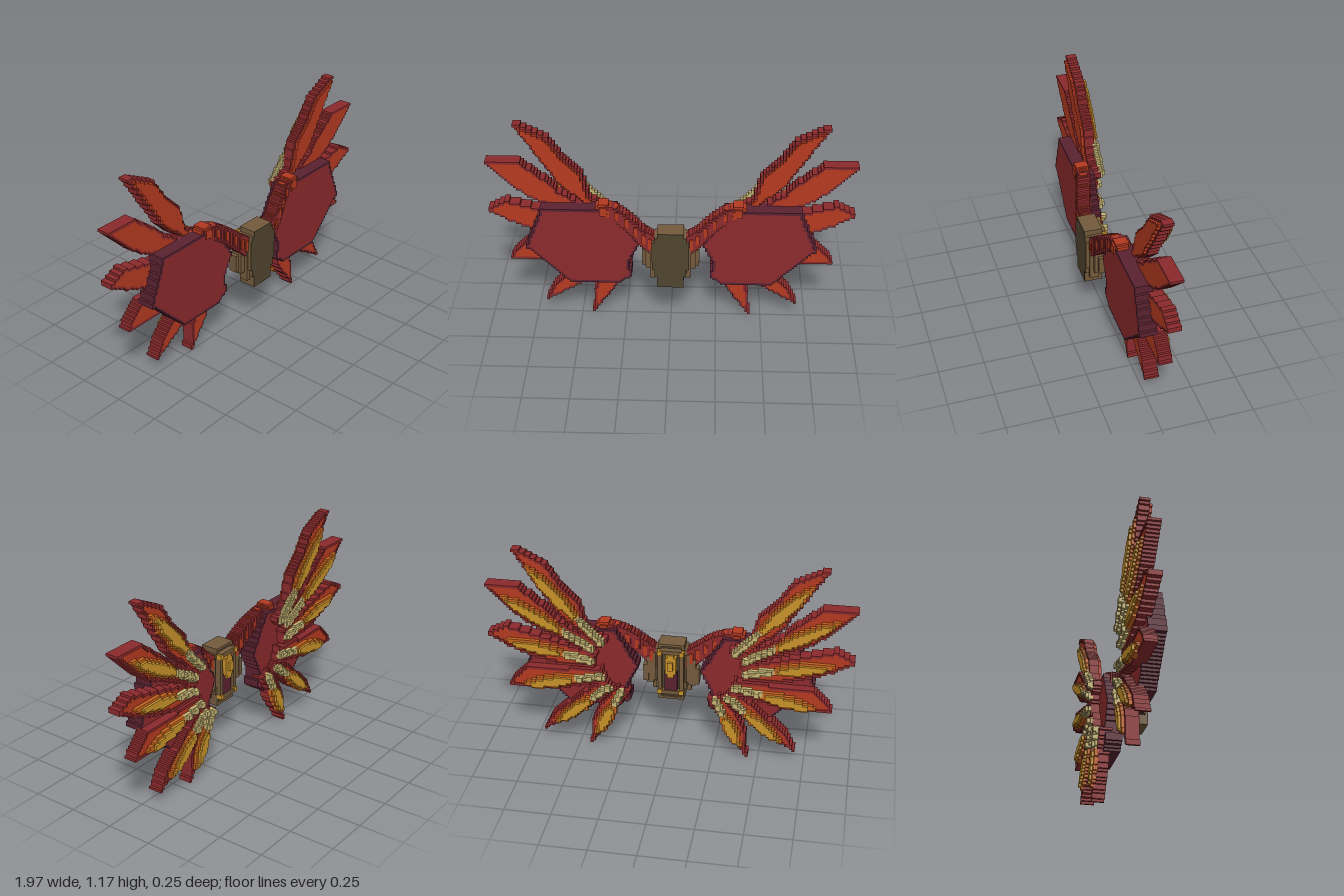
import * as THREE from 'three';
import { mergeGeometries } from 'three/addons/utils/BufferGeometryUtils.js';

const S = 1 / 70; // block size
const mat = (name, color) => {
  const m = new THREE.MeshStandardMaterial({ color });
  m.name = name;
  return m;
};

function inside(x, y, poly) {
  let hit = false;
  for (let i = 0, j = poly.length - 1; i < poly.length; j = i++) {
    const [ax, ay] = poly[i], [bx, by] = poly[j];
    if (ay > y !== by > y && x < ((bx - ax) * (y - ay)) / (by - ay) + ax) hit = !hit;
  }
  return hit;
}

function box(w, h, d, x, y, z) {
  return new THREE.BoxGeometry(w, h, d).translate(x, y, z);
}

// Horizontal runs of blocks for every cell that passes the test
function runs(test, z0, z1) {
  const out = [];
  for (let j = 0; j < 84; j++) {
    let start = null;
    for (let i = -72; i <= 72; i++) {
      const on = test(i, j);
      if (on && start === null) start = i;
      if (!on && start !== null) {
        out.push(box((i - start) * S, S, Math.abs(z1 - z0), ((i + start) / 2) * S, (j + 0.5) * S, (z0 + z1) / 2));
        start = null;
      }
    }
  }
  return out;
}

function add(group, name, parts, material) {
  if (!parts.length) return;
  const mesh = new THREE.Mesh(mergeGeometries(parts), material);
  mesh.name = name;
  group.add(mesh);
}

// Stepped plate: a one-block rim in one colour around a core in another
function plate(group, name, poly, rim, core, [r0, r1], [c0, c1] = [r0, r1]) {
  const on = (i, j) => inside((i + 0.5) * S, (j + 0.5) * S, poly);
  const inner = (i, j) => on(i, j) && on(i - 1, j) && on(i + 1, j) && on(i, j - 1) && on(i, j + 1);
  add(group, name + 'Rim', runs((i, j) => on(i, j) && !inner(i, j), r0, r1), rim);
  add(group, name + 'Core', runs(inner, c0, c1), core);
}

const along = ([ax, ay], [bx, by], t) => [ax + (bx - ax) * t, ay + (by - ay) * t];

// One edge of a leaf: points beside the line a-b at the given half widths
function edge(a, b, widths, k) {
  const len = Math.hypot(b[0] - a[0], b[1] - a[1]);
  return widths.map((w, i) => {
    const [x, y] = along(a, b, i / Math.max(widths.length - 1, 1));
    return [x - ((b[1] - a[1]) / len) * w * k, y + ((b[0] - a[0]) / len) * w * k];
  });
}
const leaf = (a, b, widths) => [...edge(a, b, widths, 1), ...edge(a, b, widths, -1).reverse()];

// Feathers of the +x wing: root, tip, bends of the upper and lower edges, front and back depth
const FEATHERS = [
  { root: [0.345, 0.645], tip: [0.84, 1.187], upper: [[0.44, 0.74], [0.47, 0.87], [0.585, 1], [0.65, 1.1]],
    lower: [[0.73, 1.02], [0.61, 0.83]], front: -0.03, back: -0.086 },
  { root: [0.4, 0.615], tip: [1, 0.957], upper: [[0.6, 0.77], [0.675, 0.85], [0.815, 0.957]],
    lower: [[0.865, 0.825], [0.78, 0.757]], front: -0.014, back: -0.086 },
  { root: [0.4, 0.54], tip: [1, 0.657], upper: [[0.715, 0.67], [0.89, 0.71]],
    lower: [[0.865, 0.585], [0.75, 0.54], [0.58, 0.5]], front: -0.014, back: -0.086 },
  { root: [0.35, 0.455], tip: [0.9, 0.34], upper: [[0.65, 0.47], [0.78, 0.475]],
    lower: [[0.62, 0.345]], front: -0.014, back: -0.086 },
  { root: [0.315, 0.395], tip: [0.695, 0.075], upper: [[0.45, 0.35], [0.64, 0.185]],
    lower: [[0.515, 0.185]], front: -0.007, back: -0.086 },
  { root: [0.25, 0.37], tip: [0.437, 0], upper: [[0.385, 0.25], [0.432, 0.13]],
    lower: [[0.33, 0.145], [0.27, 0.27]], front: 0, back: -0.072 },
];
const MEMBRANE = [[0.295, 0.715], [0.69, 0.715], [0.785, 0.47], [0.55, 0.25], [0.27, 0.25], [0.215, 0.29], [0.23, 0.38], [0.17, 0.5]];
const PACK_HALF = [[0.06, 0.62], [0.1, 0.54], [0.1, 0.4], [0.075, 0.34], [0.07, 0.275]];

export function createModel() {
  const red = mat('deepRed', 0x8b2a2c), purple = mat('darkPlum', 0x5a2231), ember = mat('emberOrange', 0xb53a20);
  const orange = mat('burntOrange', 0xc4651e), gold = mat('gold', 0xc8922a), cream = mat('paleQuill', 0xc6b574);
  const dark = mat('darkBrown', 0x50442f), brown = mat('brown', 0x735a3c);
  const model = new THREE.Group();
  model.name = 'wingPack';

  for (const side of [1, -1]) {
    const wing = new THREE.Group();
    wing.name = side > 0 ? 'leftWing' : 'rightWing';
    model.add(wing);
    const flip = (pts) => pts.map(([x, y]) => [x * side, y]);

    plate(wing, 'membrane', flip(MEMBRANE), purple, red, [0.057, -0.038]);

    // Feathers with a raised vane and a knobbly quill on the back
    FEATHERS.forEach(({ root, tip, upper, lower, front, back }, n) => {
      const outline = [...edge(root, tip, [0.04], 1), ...upper, tip, ...lower, ...edge(root, tip, [0.04], -1)];
      const quillEnd = along(root, tip, 0.29), vaneEnd = along(root, tip, 0.82);
      const low = [back + 0.01, back - 0.014], high = [back + 0.01, back - 0.028];
      plate(wing, 'feather' + (n + 1), flip(outline), red, ember, [front, back], [Math.max(front, -0.014), back + 0.006]);
      plate(wing, 'vane' + (n + 1), flip(leaf(quillEnd, vaneEnd, [0.02, 0.036, 0.038, 0.03, 0.006])), orange, gold, low, high);
      plate(wing, 'quill' + (n + 1), flip(leaf(root, quillEnd, [0.019, 0.021, 0.014])), cream, cream, low, high);
      const knobs = [0.04, 0.14, 0.24].map((t) => {
        const [x, y] = along(root, tip, t);
        return box(0.028, 0.028, 0.03, side * x, y, back - 0.015);
      });
      add(wing, 'quillKnobs' + (n + 1), knobs, cream);
    });

    // Stepped arm from the pack to the wing
    const curve = new THREE.CatmullRomCurve3([[0.1, 0.53, 0.07], [0.15, 0.57, 0.07], [0.22, 0.635, 0.05],
      [0.3, 0.685, 0.025], [0.37, 0.7, 0.02]].map((p) => new THREE.Vector3(...p)));
    const skin = [], ridge = [];
    for (let i = 0; i <= 18; i++) {
      const p = curve.getPoint(i / 18), h = 0.105 - 0.002 * i;
      skin.push(box(0.036, h, 0.07, side * p.x, p.y, p.z));
      if (i % 3 === 1) ridge.push(box(0.02, h * 0.6, 0.084, side * p.x, p.y, p.z), box(0.02, h + 0.012, 0.04, side * p.x, p.y, p.z));
    }
    add(wing, 'arm', skin, red);
    add(wing, 'armRidges', ridge, ember);
    add(wing, 'shoulderJoint', [[0.055, 0.08, 0.07], [0.085, 0.055, 0.06], [0.04, 0.05, 0.09]]
      .map(([w, h, d]) => box(w, h, d, side * 0.36, 0.705, 0.02)), ember);

    // Side pads of the pack
    add(model, 'sidePad', [box(0.04, 0.16, 0.06, side * 0.115, 0.45, 0.06), box(0.03, 0.1, 0.045, side * 0.14, 0.43, 0.05),
      box(0.025, 0.2, 0.05, side * 0.095, 0.42, 0.085)], brown);
  }

  // Central pack
  const pack = [...PACK_HALF, ...PACK_HALF.map(([x, y]) => [-x, y]).reverse()];
  plate(model, 'pack', pack, brown, dark, [0.126, 0.03], [0.126, 0.04]);
  plate(model, 'packFront', pack, dark, dark, [0.13, 0.126]);

  // Raised frame, crest and inset on the back of the pack
  const frame = [], studs = [];
  for (const k of [1, -1]) {
    frame.push(box(0.022, 0.24, 0.035, k * 0.06, 0.45, 0.025), box(0.12, 0.022, 0.035, 0, 0.45 + k * 0.125, 0.025));
    for (const y of [0.33, 0.57]) studs.push(box(0.026, 0.026, 0.03, k * 0.06, y, 0.015));
  }
  add(model, 'backFrame', frame, brown);
  add(model, 'frameStuds', studs, gold);
  add(model, 'backInset', [box(0.07, 0.12, 0.03, 0, 0.395, 0.03)], purple);
  add(model, 'crest', [box(0.06, 0.1, 0.04, 0, 0.495, 0.02), box(0.035, 0.14, 0.04, 0, 0.495, 0.018),
    box(0.03, 0.05, 0.05, 0, 0.5, 0.008)], gold);
  return model;
}
